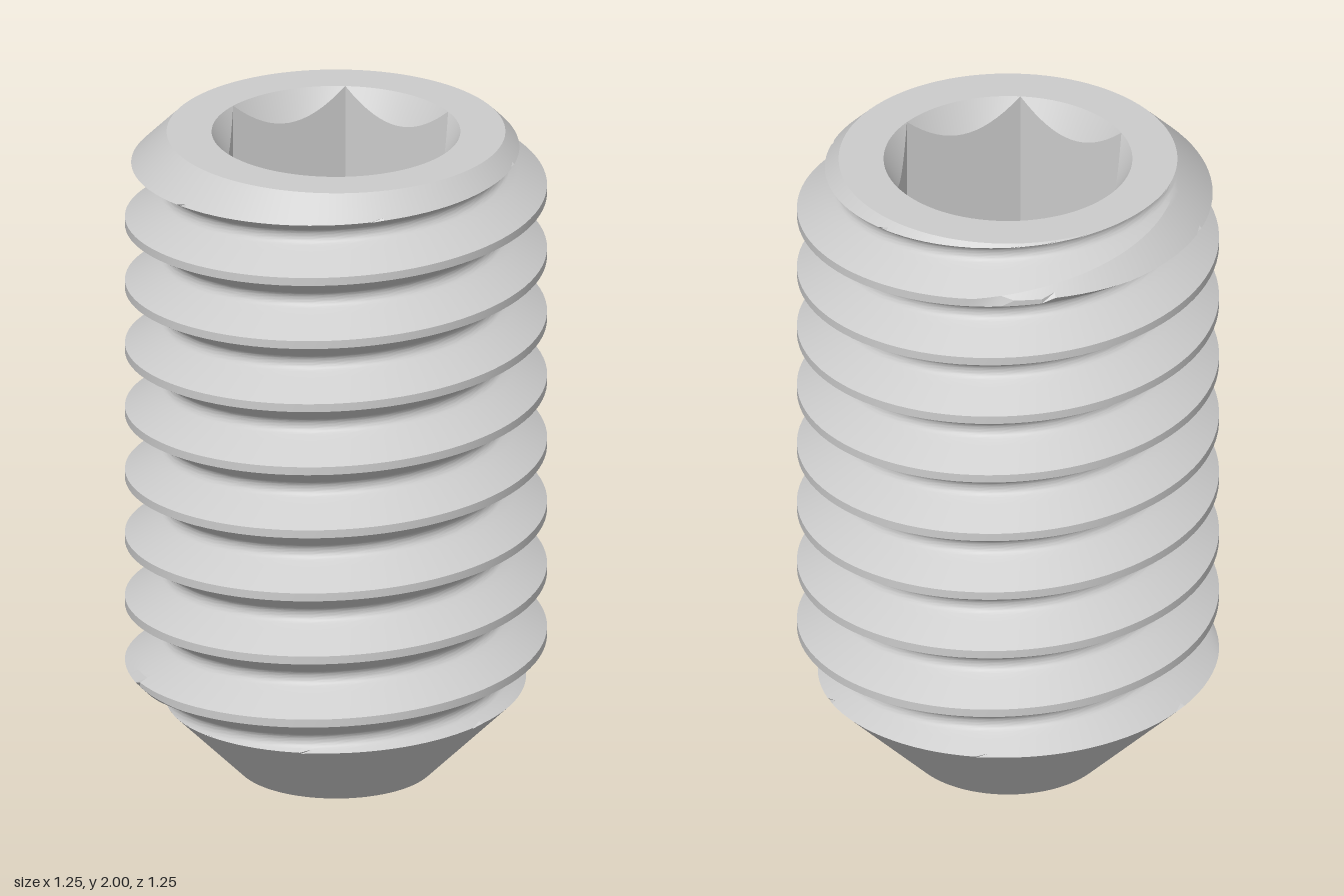
import * as THREE from 'three';
import { toCreasedNormals } from 'three/addons/utils/BufferGeometryUtils.js';

const SEG = 96, TAU = Math.PI * 2;
const HEIGHT = 2, PITCH = 0.2, MAJOR = 0.623, ROOT = 0.5;
const TIP = 0.293, RIM = 0.5, FLAT = 0.318, CORNER = FLAT / Math.cos(Math.PI / 6);
const CREST = 0.0875;                                  // distance from root centre to crest edge
const ARC = ROOT - MAJOR + CREST * Math.sqrt(3);       // root fillet radius, tangent to the flanks

// Surface around the y axis: profile(phi) gives the [radius, y] points of one column
function sweep(profile) {
  const columns = [];
  for (let i = 0; i <= SEG; i++) {
    const phi = i / SEG * TAU, c = Math.cos(i % SEG / SEG * TAU), s = Math.sin(i % SEG / SEG * TAU);
    columns.push(profile(phi).map(([r, y]) => new THREE.Vector3(r * c, y, -r * s)));
  }
  const positions = [], tri = new THREE.Triangle();
  const add = (a, b, c) => {
    if (tri.set(a, b, c).getArea() > 1e-9) for (const p of [a, b, c]) positions.push(p.x, p.y, p.z);
  };
  for (let i = 0; i < SEG; i++) {
    const a = columns[i], b = columns[i + 1];
    for (let j = 0; j < a.length - 1; j++) {
      add(a[j], b[j], b[j + 1]);
      add(a[j], b[j + 1], a[j + 1]);
    }
  }
  const geometry = new THREE.BufferGeometry();
  geometry.setAttribute('position', new THREE.Float32BufferAttribute(positions, 3));
  return toCreasedNormals(geometry, 0.24);
}

// Thread radius: flat crest, 60 degree flanks, rounded root
function threadRadius(y, phi) {
  let u = (y - PITCH / 2 - PITCH * phi / TAU) / PITCH;
  u = Math.abs(u - Math.round(u)) * PITCH;
  if (u >= CREST) return MAJOR;
  if (u > ARC * Math.sin(Math.PI / 3)) return MAJOR - (CREST - u) * Math.sqrt(3);
  return ROOT + ARC - Math.sqrt(ARC * ARC - u * u);
}

// 45 degree cones that cut the thread at both ends
const coneRadius = (y) => Math.min(TIP + y, RIM + HEIGHT - y);

// Sample offsets over one pitch, measured from the root centre
const arcEnd = ARC * Math.sin(Math.PI / 3);
const offsets = [];
for (let i = 0; i < 5; i++) offsets.push(-CREST + (CREST - arcEnd) * i / 5);
for (let a = -60; a <= 60; a += 10) offsets.push(ARC * Math.sin(a * Math.PI / 180));
for (let i = 1; i <= 5; i++) offsets.push(arcEnd + (CREST - arcEnd) * i / 5);

function threadProfile(phi) {
  const ys = [];
  for (let k = -2; k <= HEIGHT / PITCH; k++) {
    for (const u of offsets) {
      ys.push(THREE.MathUtils.clamp((k + 0.5 + phi / TAU) * PITCH + u, 0, HEIGHT));
    }
  }
  // Move the nearest sample onto each place where thread and cone meet
  const gap = ys.map((y) => threadRadius(y, phi) - coneRadius(y));
  const snapped = ys.slice();
  for (let j = 0; j < ys.length - 1; j++) {
    if (gap[j] * gap[j + 1] >= 0) continue;
    const t = gap[j] / (gap[j] - gap[j + 1]);
    snapped[t < 0.5 ? j : j + 1] = ys[j] + t * (ys[j + 1] - ys[j]);
  }
  return snapped.map((y) => [Math.min(threadRadius(y, phi), coneRadius(y)), y]);
}

// Hexagonal socket with a conical lead-in, corners on the x axis
function socketProfile(phi) {
  const sector = Math.PI / 3;
  const r = FLAT / Math.cos(phi - (Math.floor(phi / sector + 1e-6) + 0.5) * sector);
  const floor = HEIGHT - 1;
  return [[CORNER, HEIGHT], [r, HEIGHT - (CORNER - r) * Math.sqrt(3)], [r, floor], [0, floor]];
}

export function createModel() {
  const group = new THREE.Group();
  group.name = 'socketSetScrew';
  const material = new THREE.MeshStandardMaterial({ color: 0xcccccc });
  const part = (name, profile) => {
    const mesh = new THREE.Mesh(sweep(profile), material);
    mesh.name = name;
    group.add(mesh);
  };
  part('threadedBody', threadProfile);
  part('topFace', () => [[RIM, HEIGHT], [CORNER, HEIGHT]]);
  part('hexSocket', socketProfile);
  part('cupPoint', () => [[0, TIP / Math.sqrt(3)], [TIP, 0]]);
  return group;
}
